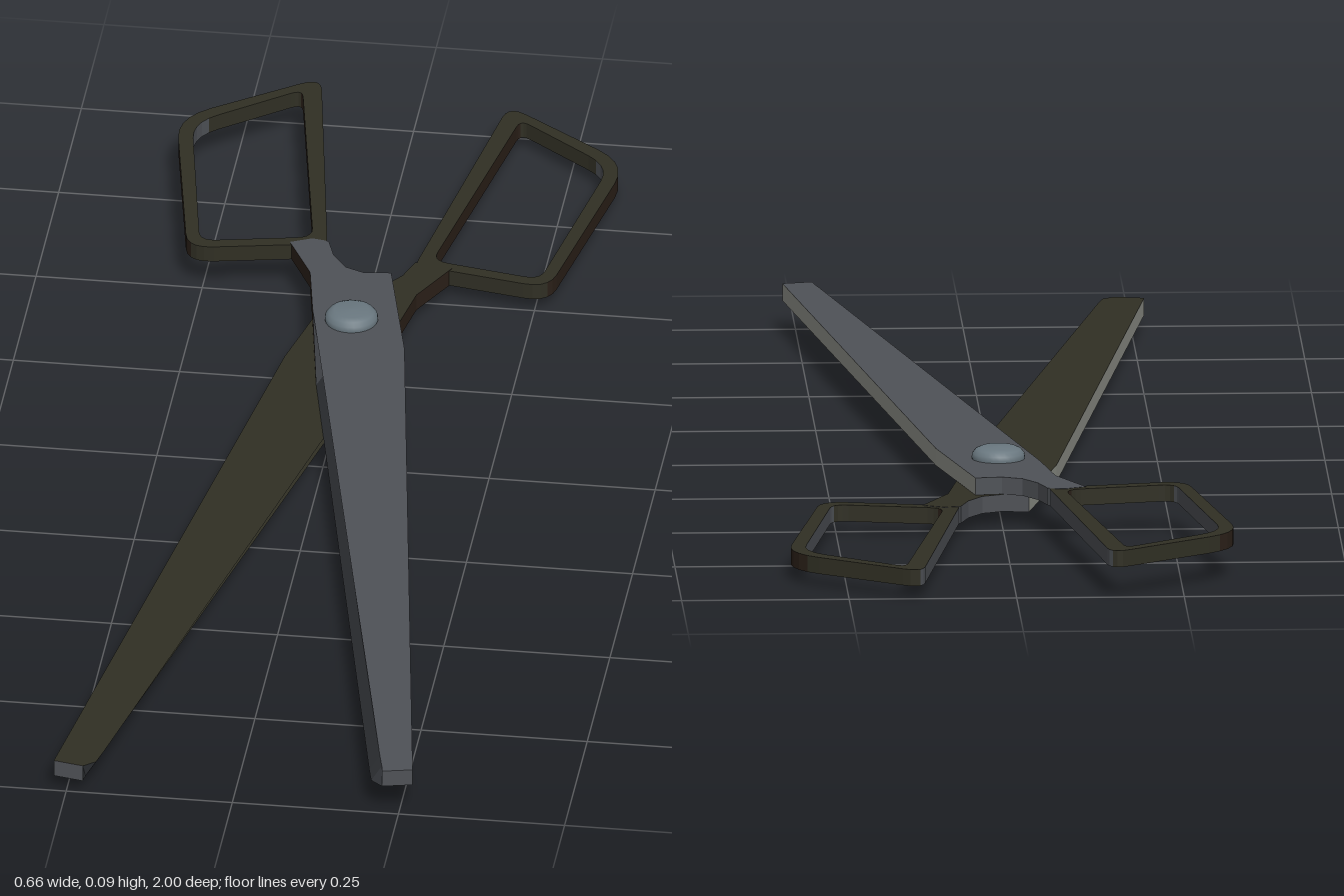
import * as THREE from 'three';

const mat = (name, color, side = THREE.FrontSide) => {
  const m = new THREE.MeshStandardMaterial({ color, side });
  m.name = name;
  return m;
};

// Flat plate lying in the x-z plane, from a shape drawn as (x, -z)
function plate(shape, y0, y1) {
  const g = new THREE.ExtrudeGeometry(shape, { depth: y1 - y0, bevelEnabled: false, curveSegments: 5 });
  g.rotateX(-Math.PI / 2);
  g.translate(0, y0, 0);
  return g.index ? g.toNonIndexed() : g;
}

// Polygon with rounded corners; points are [x, z, radius]
function rounded(points, target) {
  const p = points.map(([x, z]) => new THREE.Vector2(x, -z));
  const n = p.length;
  p.forEach((c, i) => {
    const toward = (q) => q.clone().sub(c).setLength(points[i][2]).add(c);
    const a = toward(p[(i + n - 1) % n]);
    const b = toward(p[(i + 1) % n]);
    if (i) target.lineTo(a.x, a.y); else target.moveTo(a.x, a.y);
    target.quadraticCurveTo(c.x, c.y, b.x, b.y);
  });
  target.closePath();
  return target;
}

// Choose a material index for every triangle from its normal and centre
function paint(geo, pick) {
  geo.computeVertexNormals();
  geo.clearGroups();
  const pos = geo.attributes.position;
  const t = new THREE.Triangle();
  const n = new THREE.Vector3(), c = new THREE.Vector3();
  for (let i = 0; i < pos.count; i += 3) {
    t.setFromAttributeAndIndices(pos, i, i + 1, i + 2);
    t.getNormal(n);
    t.getMidpoint(c);
    geo.addGroup(i, 3, pick(n, c));
  }
  return geo;
}

export function createModel() {
  const model = new THREE.Group();
  model.name = 'scissors';
  const steel = mat('steel grey', 0x4f5257);
  const olive = mat('dark olive', 0x302f24);
  const bright = mat('bright edge', 0x95978f);
  const edge = mat('cutting edge', 0x35383c);
  const brown = mat('dark brown', 0x2c2119);
  const rivetMat = mat('rivet blue grey', 0x6a7880);
  const mats = [steel, olive, bright, edge, brown];
  const low = 0.046, high = 0.072;

  // Blade and shank outline
  const outline = [
    [0.27, 0.99], [0.09, -0.24], [0.04, -0.46], [0, -0.455], [-0.03, -0.468], [-0.052, -0.5],
    [-0.065, -0.54], [-0.09, -0.545], [-0.122, -0.53], [-0.08, -0.445], [-0.062, -0.34],
    [-0.032, -0.16], [0.2, 0.955], [0.207, 0.985], [0.225, 1],
  ];
  const bladeGeo = plate(new THREE.Shape(outline.map(([x, z]) => new THREE.Vector2(x, -z))), low, high);

  // Hollow the cutting bevel by moving the upper inner edge inward
  const pos = bladeGeo.attributes.position;
  for (let i = 0; i < pos.count; i++) {
    const x = pos.getX(i), z = pos.getZ(i);
    const inner = (z > -0.2 && z < -0.1) || (z > 0.9 && x < 0.215);
    if (inner && pos.getY(i) > 0.06) pos.setX(i, x + 0.016);
  }
  paint(bladeGeo, (n, c) => {
    if (n.x < -0.5 && c.z > 0) return 3;
    if (n.y < -0.5) return 1;
    if (n.y > 0.5) return 0;
    if (n.x > 0.5 && c.z > -0.46) return 2;
    return n.x < -0.5 && c.z < -0.1 ? 4 : 0;
  });

  // Angular finger loop with a rounded opening
  const loop = rounded([
    [-0.141, -1.017, 0.035], [-0.339, -0.872, 0.06], [-0.272, -0.493, 0.04], [-0.066, -0.533, 0.015],
  ], new THREE.Shape());
  loop.holes.push(rounded([
    [-0.164, -0.978, 0.02], [-0.314, -0.86, 0.045], [-0.256, -0.517, 0.025], [-0.09, -0.55, 0.025],
  ], new THREE.Path()));
  const loopGeo = paint(plate(loop, low + 0.0005, high - 0.0005), (n) => {
    if (n.x > 0.8) return 0;
    return n.x < -0.8 ? 4 : 1;
  });

  // Two identical halves, the lower one turned over
  ['upperHalf', 'lowerHalf'].forEach((name, i) => {
    const half = new THREE.Group();
    half.name = name;
    const blade = new THREE.Mesh(bladeGeo, mats);
    blade.name = 'blade';
    const handle = new THREE.Mesh(loopGeo, mats);
    handle.name = 'fingerLoop';
    half.add(blade, handle);
    if (i) {
      half.rotation.z = Math.PI;
      half.position.y = 2 * low - 0.0005;
    }
    model.add(half);
  });

  // Pivot rivet with rounded heads on both sides
  const head = [[0, 0.0455], [0.026, 0.0445], [0.034, 0.041], [0.039, 0.035], [0.04, 0.029], [0.039, 0.025]];
  const profile = [
    ...head.map(([r, h]) => new THREE.Vector2(r, 0.0455 - h)),
    ...head.slice().reverse().map(([r, h]) => new THREE.Vector2(r, 0.0455 + h)),
  ];
  const rivet = new THREE.Mesh(new THREE.LatheGeometry(profile, 28), rivetMat);
  rivet.name = 'pivotRivet';
  rivet.position.z = -0.315;
  model.add(rivet);
  return model;
}
